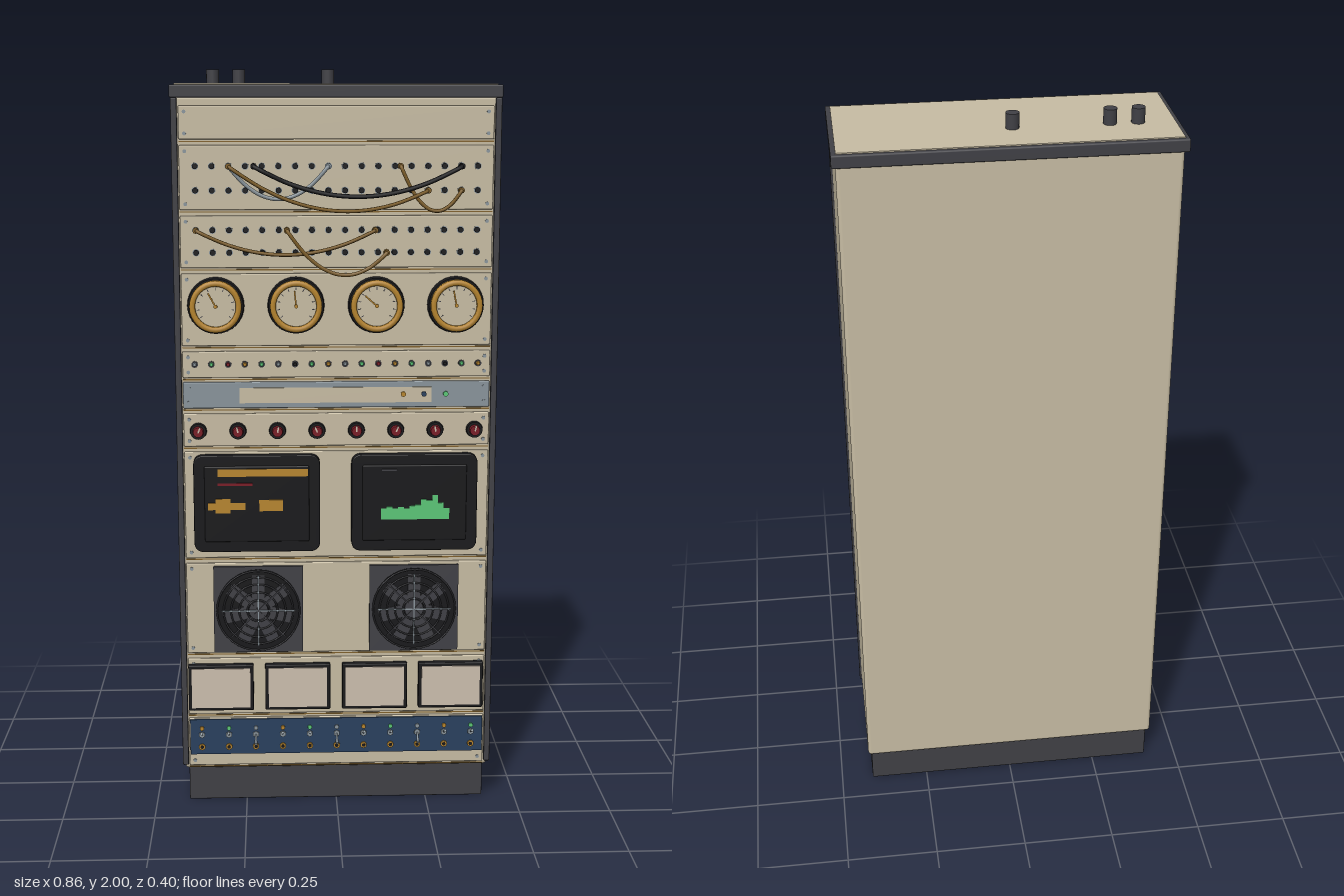
import * as THREE from 'three';
import { RoundedBoxGeometry } from 'three/addons/geometries/RoundedBoxGeometry.js';

const mat = (name, color) => {
  const m = new THREE.MeshStandardMaterial({ color });
  m.name = name;
  return m;
};

export function createModel() {
  const root = new THREE.Group();
  root.name = 'equipmentRack';
  const beige = mat('beige enamel', 0xc8bda4), charcoal = mat('charcoal', 0x414146);
  const black = mat('black', 0x19191b), gold = mat('gold', 0xb8862f);
  const navy = mat('navy', 0x2a415f), steel = mat('steel', 0x8a959c);
  const green = mat('green', 0x5cc878), red = mat('dark red', 0x7a1c26);
  const ivory = mat('ivory', 0xcdbfae), brown = mat('brown cable', 0x80602a);
  const F = 0.157; // front face of the panels

  const put = (parent, name, geo, m, x = 0, y = 0, z = 0) => {
    const mesh = new THREE.Mesh(geo, m);
    mesh.name = name;
    mesh.position.set(x, y, z);
    parent.add(mesh);
    return mesh;
  };
  const group = (name) => {
    const g = new THREE.Group();
    g.name = name;
    root.add(g);
    return g;
  };
  // box given by its limits; r rounds the edges
  const box = (p, name, m, x0, x1, y0, y1, z0, z1, r = 0) => put(p, name,
    r ? new RoundedBoxGeometry(x1 - x0, y1 - y0, z1 - z0, 2, r) : new THREE.BoxGeometry(x1 - x0, y1 - y0, z1 - z0),
    m, (x0 + x1) / 2, (y0 + y1) / 2, (z0 + z1) / 2);
  // cylinder pointing to the front, from z0 to z1
  const disc = (p, name, m, x, y, z0, z1, r, n = 12, rFront = r) => put(p, name,
    new THREE.CylinderGeometry(rFront, r, z1 - z0, n).rotateX(Math.PI / 2), m, x, y, (z0 + z1) / 2);
  const spread = (n, half, fn) => {
    for (let i = 0; i < n; i++) fn(-half + (2 * half * i) / (n - 1), i);
  };

  // Cabinet shell
  const shell = group('cabinet');
  box(shell, 'plinth', charcoal, -0.41, 0.41, 0, 0.105, -0.175, 0.13, 0.004);
  box(shell, 'body', beige, -0.42, 0.42, 0.1, 1.93, -0.19, 0.15, 0.01);
  box(shell, 'topCap', charcoal, -0.43, 0.43, 1.925, 1.958, -0.2, 0.15, 0.004);
  box(shell, 'topPlate', beige, -0.418, 0.418, 1.95, 1.961, -0.19, 0.136);
  for (const s of [-1, 1]) {
    const rail = box(shell, 'sideRail', charcoal, -0.008, 0.008, 0.115, 1.925, 0.145, 0.162, 0.003);
    rail.position.x = s * 0.418;
  }
  for (const x of [-0.325, -0.255, -0.015])
    put(shell, 'cableGland', new THREE.CylinderGeometry(0.017, 0.017, 0.045, 16), charcoal, x, 1.9775, -0.075);

  // Front panels with corner screws
  const panels = group('frontPanels');
  const rows = [[1.82, 1.905], [1.64, 1.805], [1.49, 1.625], [1.285, 1.475], [1.2, 1.27], [1.118, 1.188],
    [1.015, 1.103], [0.708, 1.0], [0.438, 0.692], [0.262, 0.422], [0.112, 0.25]];
  rows.forEach(([y0, y1], i) => {
    box(panels, 'panel', i === 5 ? steel : beige, -0.407, 0.407, y0, y1, 0.14, F, 0.003);
    box(panels, 'seam', brown, -0.407, 0.407, y0 - 0.007, y0 - 0.004, 0.148, 0.1515);
    for (const x of [-0.392, 0.392]) for (const y of [y0 + 0.015, y1 - 0.015])
      disc(panels, 'screw', steel, x, y, F - 0.002, F + 0.002, 0.005, 8);
  });

  // Patch bays
  const patch = group('patchBays');
  for (const y of [1.752, 1.69, 1.588, 1.53]) spread(18, 0.366, (x) => {
    disc(patch, 'jackCollar', steel, x, y, F - 0.002, F + 0.002, 0.0095, 10);
    disc(patch, 'jack', black, x, y, F, F + 0.007, 0.0075, 10);
  });
  // sagging patch cables: start, lowest height, end, radius, colour
  const cables = [
    [-0.215, 1.752, 1.675, 0.323, 1.752, 0.006, black, 0.185], [-0.28, 1.752, 1.64, 0.237, 1.69, 0.005, brown, 0.178],
    [-0.28, 1.752, 1.668, -0.022, 1.752, 0.005, steel, 0.172], [0.165, 1.752, 1.64, 0.323, 1.69, 0.005, brown, 0.175],
    [-0.366, 1.588, 1.525, 0.1, 1.588, 0.005, brown, 0.175], [-0.13, 1.588, 1.475, 0.13, 1.53, 0.005, brown, 0.18]];
  for (const [x0, y0, low, x1, y1, r, m, z] of cables) {
    const pts = [new THREE.Vector3(x0, y0, F)];
    for (let i = 0; i <= 6; i++) {
      const t = i / 6, sag = (y0 + y1) / 2 - low;
      pts.push(new THREE.Vector3(x0 + (x1 - x0) * t, y0 + (y1 - y0) * t - 4 * sag * t * (1 - t), z));
    }
    pts.push(new THREE.Vector3(x1, y1, F));
    put(patch, 'patchCable', new THREE.TubeGeometry(new THREE.CatmullRomCurve3(pts), 40, r, 7), m);
    disc(patch, 'plug', m, x0, y0, F, z, 0.008, 10);
    disc(patch, 'plug', m, x1, y1, F, z, 0.008, 10);
  }

  // Round gauges
  const gauges = group('gauges');
  const rim = [[0.053, 0], [0.053, 0.034], [0.057, 0.038], [0.064, 0.038], [0.068, 0.033], [0.068, 0.02]]
    .map(([r, h]) => new THREE.Vector2(r, h)).reverse();
  const bezel = new THREE.LatheGeometry(rim.reverse(), 32).rotateX(Math.PI / 2);
  const goldRim = gold.clone();
  gold.side = THREE.DoubleSide;
  goldRim.dispose();
  [0.5, 0.1, 0.85, 0.2].forEach((a, i) => {
    const x = [-0.317, -0.107, 0.104, 0.313][i], y = 1.392;
    disc(gauges, 'gaugeBody', black, x, y, F - 0.002, 0.179, 0.075, 32, 0.072);
    put(gauges, 'gaugeBezel', bezel, gold, x, y, F);
    disc(gauges, 'gaugeFace', beige, x, y, 0.175, 0.183, 0.054, 32);
    for (let k = 0; k <= 10; k++) {
      const t = (k / 10 - 0.5) * 4.4;
      const tick = put(gauges, 'gaugeTick', new THREE.BoxGeometry(0.002, 0.007, 0.002), charcoal,
        x - Math.sin(t) * 0.046, y + Math.cos(t) * 0.046, 0.183);
      tick.rotation.z = t;
    }
    const needle = put(gauges, 'gaugeNeedle', new THREE.BoxGeometry(0.004, 0.044, 0.002).translate(0, 0.018, 0), gold, x, y, 0.186);
    needle.rotation.z = a;
    disc(gauges, 'gaugeHub', gold, x, y, 0.183, 0.188, 0.005, 10);
  });

  // Indicator lamps
  const lamps = group('indicatorLamps');
  const lampColours = [steel, green, red, gold, green, steel, black, green, gold];
  spread(18, 0.375, (x, i) => {
    disc(lamps, 'lampCollar', charcoal, x, 1.236, F - 0.002, F + 0.003, 0.009, 10);
    disc(lamps, 'lamp', lampColours[i % 9], x, 1.236, F, F + 0.009, 0.0065, 10, 0.004);
  });

  // Tape slot on the steel panel
  const slot = group('slotPanel');
  box(slot, 'slotPlate', beige, -0.258, 0.252, 1.132, 1.173, F - 0.002, F + 0.003);
  [[0.177, gold], [0.232, navy], [0.29, green]].forEach(([x, m]) => disc(slot, 'slotLamp', m, x, 1.154, F, F + 0.007, 0.007, 10));

  // Rotary knobs
  const knobs = group('knobs');
  spread(8, 0.368, (x, i) => {
    disc(knobs, 'knobSkirt', black, x, 1.057, F - 0.002, F + 0.012, 0.023, 20, 0.021);
    disc(knobs, 'knobCap', red, x, 1.057, F + 0.01, F + 0.024, 0.015, 16, 0.013);
    const mark = put(knobs, 'knobMark', new THREE.BoxGeometry(0.004, 0.016, 0.002).translate(0, 0.007, 0), ivory, x, 1.057, F + 0.0245);
    mark.rotation.z = ((i * 3) % 5 - 2) * 0.2;
  });

  // Display screens
  const screens = group('screens');
  const flat = (name, m, x0, x1, y0, y1) => box(screens, name, m, x0, x1, y0, y1, 0.177, 0.181);
  for (const x of [-0.214, 0.208]) {
    const s = new THREE.Shape(), w = 0.166, h = 0.13, c = 0.025;
    s.moveTo(-w + c, -h).lineTo(w - c, -h).quadraticCurveTo(w, -h, w, -h + c).lineTo(w, h - c)
      .quadraticCurveTo(w, h, w - c, h).lineTo(-w + c, h).quadraticCurveTo(-w, h, -w, h - c)
      .lineTo(-w, -h + c).quadraticCurveTo(-w, -h, -w + c, -h);
    put(screens, 'screenBezel', new THREE.ExtrudeGeometry(s, { depth: 0.016, bevelThickness: 0.004, bevelSize: 0.003, bevelSegments: 2 }), black, x, 0.861, F - 0.001);
    box(screens, 'screenGlass', black, x - 0.14, x + 0.14, 0.757, 0.965, 0.17, 0.179, 0.004);
  }
  flat('amberHeadline', gold, -0.318, -0.077, 0.937, 0.957);
  flat('redLine', red, -0.318, -0.225, 0.912, 0.919);
  flat('amberBlock', gold, -0.345, -0.245, 0.846, 0.865);
  flat('amberBlock', gold, -0.325, -0.285, 0.837, 0.876);
  flat('amberBlock', gold, -0.208, -0.145, 0.842, 0.873);
  flat('dimText', charcoal, 0.12, 0.16, 0.95, 0.954);
  // green bar trace
  [0.03, 0.035, 0.03, 0.034, 0.03, 0.037, 0.04, 0.055, 0.052, 0.066, 0.045, 0.03].forEach((h, i) =>
    flat('greenTrace', green, 0.118 + i * 0.0153, 0.1335 + i * 0.0153, 0.816, 0.816 + h));

  // Cooling fans
  const fans = group('fans');
  for (const x of [-0.213, 0.21]) {
    const y = 0.563;
    box(fans, 'fanPlate', charcoal, x - 0.121, x + 0.121, y - 0.121, y + 0.121, F - 0.002, F + 0.008);
    disc(fans, 'fanOpening', black, x, y, F, F + 0.01, 0.113, 36);
    for (let k = 0; k < 7; k++) {
      const blade = put(fans, 'fanBlade', new THREE.BoxGeometry(0.034, 0.07, 0.002).translate(0, 0.062, 0), charcoal, x, y, F + 0.011);
      blade.rotation.z = (k * Math.PI * 2) / 7;
    }
    for (const r of [0.03, 0.052, 0.074, 0.094, 0.112])
      put(fans, 'guardRing', new THREE.TorusGeometry(r, 0.0023, 6, 36), charcoal, x, y, F + 0.019);
    for (let k = 0; k < 4; k++) {
      const wire = put(fans, 'guardWire', new THREE.BoxGeometry(0.0035, k % 2 ? 0.21 : 0.2, 0.003), k % 2 ? charcoal : steel, x, y, F + 0.02);
      wire.rotation.z = (k * Math.PI) / 4;
    }
    disc(fans, 'fanHub', charcoal, x, y, F + 0.008, F + 0.018, 0.026, 20);
  }

  // Framed push panels
  const windows = group('pushPanels');
  for (const x of [-0.317, -0.107, 0.104, 0.313]) {
    box(windows, 'pushFrame', black, x - 0.089, x + 0.089, 0.278, 0.408, F - 0.002, F + 0.018, 0.003);
    box(windows, 'pushFace', ivory, x - 0.08, x + 0.08, 0.287, 0.399, F + 0.014, F + 0.021);
  }

  // Toggle switch bank
  const toggles = group('toggleBank');
  box(toggles, 'toggleBoard', navy, -0.404, 0.404, 0.146, 0.247, F - 0.004, F + 0.004);
  spread(11, 0.372, (x, i) => {
    disc(toggles, 'toggleLamp', [gold, green, steel][i % 3], x, 0.222, F, F + 0.009, 0.006, 10);
    disc(toggles, 'toggleNut', steel, x, 0.203, F, F + 0.008, 0.009, 6);
    disc(toggles, 'lowerNut', gold, x, 0.168, F, F + 0.008, 0.009, 10);
    disc(toggles, 'lowerSocket', black, x, 0.168, F + 0.004, F + 0.009, 0.005, 8);
    const lever = put(toggles, 'toggleLever', new THREE.CylinderGeometry(0.004, 0.0025, 0.038, 8).rotateX(Math.PI / 2).translate(0, 0, 0.019),
      steel, x, 0.203, F + 0.005);
    lever.rotation.x = (i * 5) % 3 === 1 ? 0.45 : -0.45;
  });
  return root;
}
